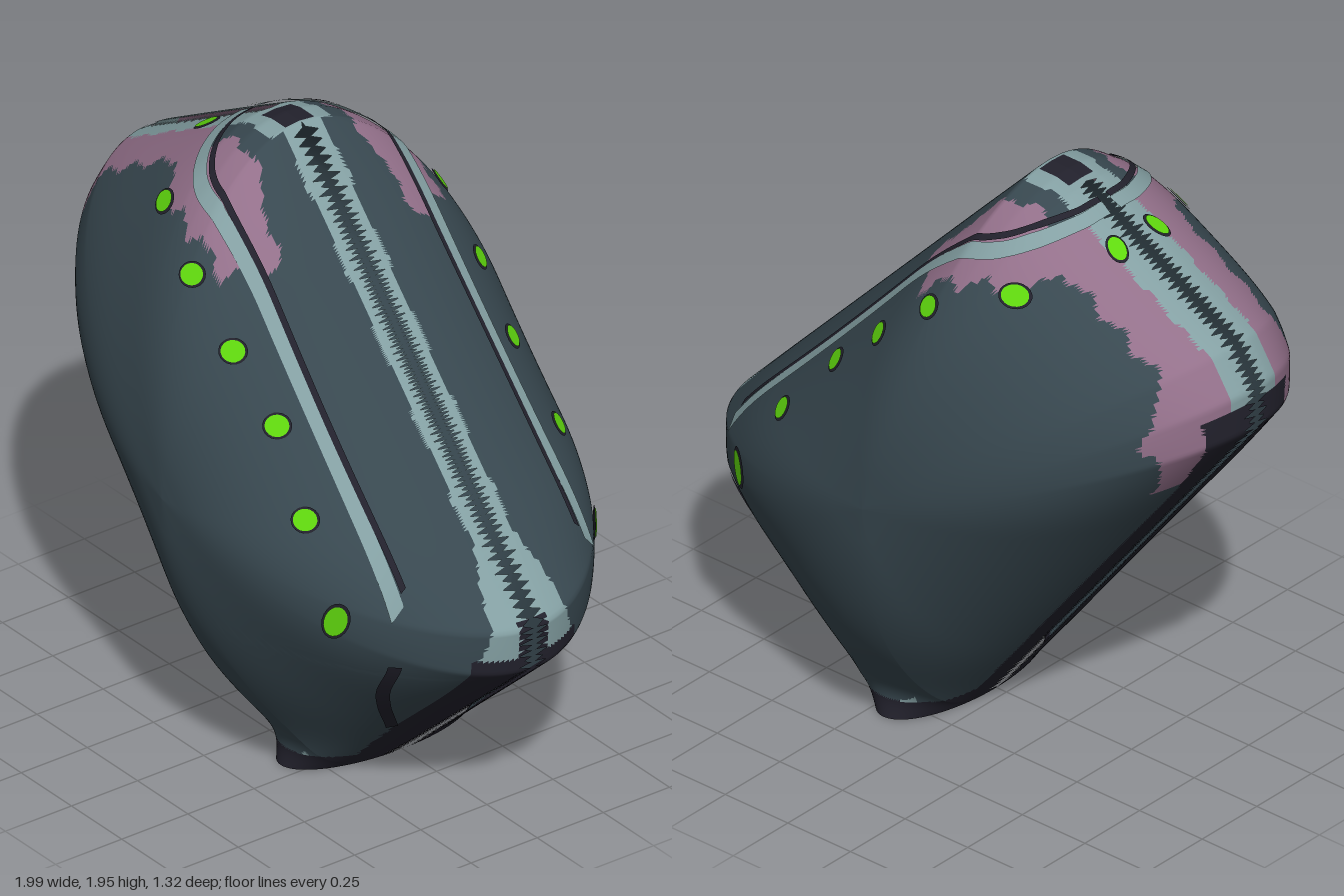
import * as THREE from 'three';

const mat = (name, color) => new THREE.MeshStandardMaterial({ name, color, side: THREE.DoubleSide });
const slate = mat('slate', 0x384850), teal = mat('paleTeal', 0x84a0a3), mauve = mat('mauve', 0x93708a);
const dark = mat('nearBlack', 0x22212c), green = mat('green', 0x60d80e);
const palette = [slate, teal, mauve, dark];
const SLATE = 0, TEAL = 1, MAUVE = 2, DARK = 3;

// Side outline (x, y); the body domes out of it with half depth DEPTH
const CY = 0.95, DEPTH = 0.66;
const outline = [[0.04, 0], [0.33, 0], [0.98, 0.58], [0.99, 0.73], [-0.17, 1.95], [-0.25, 1.95], [-0.33, 1.93],
  [-0.92, 1.6], [-1, 1.48], [-1, 1.34]];

// Outline point in a direction from the body centre
function edgePoint(dx, dy) {
  for (let i = 0; i < outline.length; i++) {
    const [ax, ay] = outline[i], [bx, by] = outline[(i + 1) % outline.length];
    const ex = bx - ax, ey = by - ay, det = dx * ey - dy * ex;
    if (Math.abs(det) < 1e-9) continue;
    const t = (ax * ey - (ay - CY) * ex) / det;
    const s = (ax * dy - (ay - CY) * dx) / det;
    if (t > 0 && s >= -1e-6 && s <= 1 + 1e-6) return [dx * t, CY + dy * t];
  }
  return [dx, CY + dy];
}

// Outline reach by angle, and a softened version that rounds the corners away from the rim
const reach = (a) => {
  const [x, y] = edgePoint(Math.cos(a), Math.sin(a));
  return Math.hypot(x, y - CY);
};
const STEPS = 360;
const raw = Array.from({ length: STEPS }, (_, i) => reach(i / STEPS * Math.PI * 2));
const soft = raw.map((_, i) => {
  let sum = 0;
  for (let k = -20; k <= 20; k++) sum += raw[(i + k + STEPS) % STEPS] * (21 - Math.abs(k));
  return sum / 441;
});
function softReach(a) {
  const f = ((a / (Math.PI * 2)) % 1 + 1) % 1 * STEPS, i = Math.floor(f) % STEPS;
  return soft[i] + (soft[(i + 1) % STEPS] - soft[i]) * (f - Math.floor(f));
}
const shellReach = (a, r) => r * THREE.MathUtils.lerp(softReach(a), reach(a), r ** 5);

const radiusAt = (z) => Math.sqrt(Math.max(0, 1 - (z / DEPTH) ** 2));
const shellPoint = (a, r, z) => {
  const d = shellReach(a, r);
  return new THREE.Vector3(d * Math.cos(a), CY + d * Math.sin(a), z);
};
function solve(lo, hi, tooLow) {
  for (let i = 0; i < 32; i++) {
    const mid = (lo + hi) / 2;
    if (tooLow(mid)) lo = mid; else hi = mid;
  }
  return (lo + hi) / 2;
}

// Shell points on the upper side (from x, z), the lower front (from y, z) and the flank (from x, y)
function onTop(x, z) {
  const r = radiusAt(z);
  return shellPoint(solve(-0.219, 2.654, (a) => shellPoint(a, r, z).x > x), r, z);
}
function onLower(y, z) {
  const r = radiusAt(z);
  return shellPoint(solve(-1.236, -0.22, (a) => shellPoint(a, r, z).y < y), r, z);
}
function onFlank(x, y) {
  const a = Math.atan2(y - CY, x), d = Math.hypot(x, y - CY);
  const r = solve(0, 1, (v) => shellReach(a, v) < d);
  return new THREE.Vector3(x, y, DEPTH * Math.sqrt(1 - r * r));
}
const lift = (p, k) => new THREE.Vector3(p.x * k, CY + (p.y - CY) * k, p.z * k);

// Piecewise-linear lookup
function lerpLine(pts, v) {
  let i = 0;
  while (i < pts.length - 2 && v > pts[i + 1][0]) i++;
  const [a, b] = [pts[i], pts[i + 1]];
  return a[1] + (b[1] - a[1]) * THREE.MathUtils.clamp((v - a[0]) / (b[0] - a[0]), 0, 1);
}
const stripeLine = [[-0.415, 0], [-0.4, 0.12], [-0.33, 0.25], [-0.22, 0.33], [0.1, 0.34]];
const mauveOuter = [[-1, 0.25], [-0.46, 0.25], [-0.37, 0.36], [-0.2, 0.41], [0, 0.42]];
const mauveInner = [[-0.34, 0.2], [-0.28, 0.17], [-0.12, 0.2], [0.06, 0.26]];

// Colour regions of the shell
function paint(x, y, zSigned) {
  const z = Math.abs(zSigned);
  const [bx, by] = edgePoint(x, y - CY);
  const wave = 0.012 * Math.sin(x * 43 + y * 9) + 0.006 * Math.sin(x * 97 + z * 60);
  // Foot, lower front and back edge
  if (y < 0.065 + 0.2 * Math.max(0, 0.22 - z)) return DARK;
  if (bx > 0.3 && by < 0.63) return z < 0.2 ? DARK : SLATE;
  if (bx < 0.1 && by < 1.44) {
    if (z < 0.14 + Math.max(0, by - 1.1) * 0.15) return DARK;
    return by > 1.14 && z < 0.23 + (by - 1.14) * 0.35 + wave ? MAUVE : SLATE;
  }
  // Head end
  if (bx < -0.85 && by < 1.62) return z < 0.1 ? TEAL : z < 0.33 - (by - 1.44) * 0.45 + wave ? MAUVE : SLATE;
  if (x > -0.3 && x < -0.18 && z < 0.04) return DARK;
  if (x < -0.17 && z < 0.11 + wave * 0.5) return TEAL;
  if (x < -0.02 + wave && z > lerpLine(stripeLine, x) && z < lerpLine(mauveOuter, x) + wave) return MAUVE;
  if (x > -0.34 && x < 0.06 && z > lerpLine(mauveInner, x) + wave && z < lerpLine(stripeLine, x)) return MAUVE;
  // Upper ridge, flaring at the front corner
  if (x > 0.85 && y < 0.75 && z < 0.045) return DARK;
  if (x >= -0.17 && z < 0.075 + Math.max(0, 0.97 - y) * 0.28 + wave * 0.4) return TEAL;
  return SLATE;
}

// Depth of the flared foot, merged smoothly into the dome
function withFoot(x, y, z) {
  if (y > 0.57) return z;
  const left = 0.04 - 0.776 * y, right = 0.33 + 1.12 * y;
  const u = (2 * x - left - right) / (right - left);
  const foot = 0.35 * (1 - 0.6 * y) * Math.sqrt(Math.max(0, 1 - u * u));
  return (z ** 6 + foot ** 6) ** (1 / 6);
}

// Half shell, open under the foot, whose rim ends in small teeth along the centre slit
function halfShell(side) {
  const angles = [], rows = 44, footCols = 60, rimCols = 620;
  for (let j = 0; j < footCols; j++) angles.push(Math.atan2(-CY, 0.185 - 0.145 * Math.cos(j / footCols * Math.PI)));
  const from = Math.atan2(-CY, 0.33), span = Math.atan2(-CY, 0.04) + Math.PI * 2 - from;
  for (let j = 0; j < rimCols; j++) angles.push(from + span * j / rimCols);
  const cols = angles.length, pos = [], faces = palette.map(() => []);
  for (let i = 0; i < rows; i++) {
    angles.forEach((a, j) => {
      const [bx, by] = edgePoint(Math.cos(a), Math.sin(a));
      const closed = j < footCols || (by > 1.9 && bx > -0.32 && bx < -0.17);
      const tooth = closed ? 0 : j % 2 ? 0.006 : 0.043 + 0.01 * Math.sin(j * 1.7);
      const phi = i === rows - 1 ? Math.acos(tooth / DEPTH) : 1.487 * (i / (rows - 2)) ** 0.65;
      const p = shellPoint(a, Math.sin(phi), DEPTH * Math.cos(phi));
      pos.push(p.x, p.y, side * withFoot(p.x, p.y, p.z));
    });
  }
  const add = (...t) => {
    const c = [0, 1, 2].map((k) => t.reduce((s, v) => s + pos[v * 3 + k], 0) / 3);
    faces[paint(...c)].push(...t);
  };
  for (let i = 0; i < rows - 1; i++) {
    for (let j = 0; j < cols; j++) {
      const a = i * cols + j, b = a + cols, d = i * cols + (j + 1) % cols, c = d + cols;
      add(a, b, c);
      if (i) add(a, c, d);
    }
  }
  const geo = new THREE.BufferGeometry();
  geo.setAttribute('position', new THREE.Float32BufferAttribute(pos, 3));
  geo.setIndex(faces.flat());
  let start = 0;
  faces.forEach((f, k) => { geo.addGroup(start, f.length, k); start += f.length; });
  geo.computeVertexNormals();
  const mesh = new THREE.Mesh(geo, palette);
  mesh.name = 'halfShell';
  return mesh;
}

// Painted ribbon lying on the shell
function ribbon(name, points, width, place, material, side, k) {
  const curve = new THREE.CatmullRomCurve3(points.map(([a, z]) => new THREE.Vector3(a, 0, z)));
  const n = 90, pos = [], index = [];
  for (let i = 0; i <= n; i++) {
    const p = curve.getPoint(i / n), t = curve.getTangent(i / n);
    for (const s of [-0.5, 0.5]) {
      const q = lift(place(p.x - t.z * width * s, Math.max(0, p.z + t.x * width * s)), k);
      pos.push(q.x, q.y, q.z * side);
    }
    if (i < n) index.push(2 * i, 2 * i + 1, 2 * i + 3, 2 * i, 2 * i + 3, 2 * i + 2);
  }
  const geo = new THREE.BufferGeometry();
  geo.setAttribute('position', new THREE.Float32BufferAttribute(pos, 3));
  geo.setIndex(index);
  geo.computeVertexNormals();
  const mesh = new THREE.Mesh(geo, material);
  mesh.name = name;
  return mesh;
}

// Green spot with a dark surround, flat on the shell
function spot(place, a, b, w, h, tilt, side) {
  const e = 0.01, p = place(a, b);
  const du = place(a + e, b).sub(place(a - e, b)), dv = place(a, b + e).sub(place(a, b - e));
  const normal = du.cross(dv).normalize();
  if (normal.dot(new THREE.Vector3(p.x, p.y - CY, p.z)) < 0) normal.negate();
  normal.z *= side;
  const group = new THREE.Group();
  group.name = 'spot';
  [[dark, 1.2, 0.004], [green, 1, 0.008]].forEach(([m, s, up]) => {
    const disc = new THREE.Mesh(new THREE.CircleGeometry(1, 20).scale(w * s, h * s, 1).rotateZ(tilt * side), m);
    disc.name = m === green ? 'spotCentre' : 'spotRim';
    disc.position.set(p.x, p.y, p.z * side).addScaledVector(normal, up);
    disc.lookAt(disc.position.clone().add(normal));
    group.add(disc);
  });
  return group;
}

export function createModel() {
  const model = new THREE.Group();
  model.name = 'shellBody';
  const flankSpots = [[-0.1, 1.615], [0.1, 1.44], [0.29, 1.26], [0.475, 1.03]];
  for (const side of [1, -1]) {
    model.add(halfShell(side));
    // Stripes over the top and the line down to the foot
    model.add(ribbon('paleStripe', [[0.78, 0.36], [0.5, 0.35], [0.1, 0.34], [-0.22, 0.33], [-0.33, 0.25],
      [-0.4, 0.12], [-0.415, 0.02]], 0.042, onTop, teal, side, 1.007));
    model.add(ribbon('darkStripe', [[0.76, 0.325], [0.4, 0.322], [0.1, 0.312], [-0.2, 0.3], [-0.3, 0.23],
      [-0.37, 0.11], [-0.385, 0.02]], 0.018, onTop, dark, side, 1.008));
    model.add(ribbon('lowerLine', [[0.62, 0.365], [0.5, 0.345], [0.4, 0.3], [0.26, 0.21]], 0.026, onLower, dark, side, 1.007));
    // Spots
    flankSpots.forEach(([x, y]) => model.add(spot(onFlank, x, y, 0.038, 0.034, 0, side)));
    model.add(spot(onFlank, 0.64, 0.76, 0.036, 0.055, -0.4, side));
    model.add(spot(onTop, -0.36, 0.37, 0.045, 0.034, 0, side));
    model.add(spot(onTop, -0.52, 0.09, 0.042, 0.028, Math.PI / 2, side));
  }
  return model;
}
